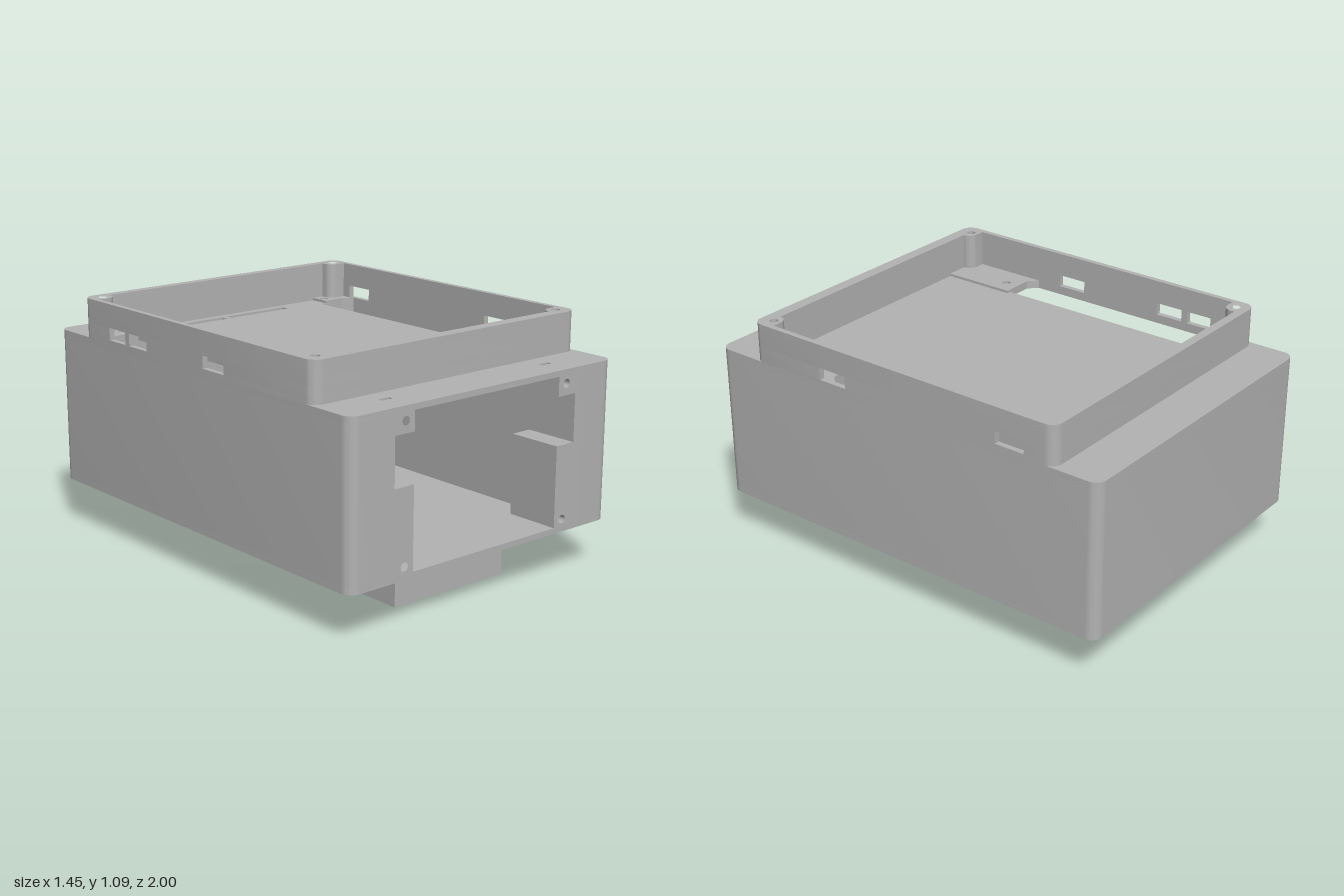
import * as THREE from 'three';
import { toCreasedNormals } from 'three/addons/utils/BufferGeometryUtils.js';

const plastic = new THREE.MeshStandardMaterial({ color: 0xb3b3b3 });
plastic.name = 'grey plastic';

// Closed path from [a, b, radius?] corners; a radius rounds that corner.
function trace(path, pts) {
  const n = pts.length;
  const toward = (p, q, d) => {
    const l = Math.hypot(q[0] - p[0], q[1] - p[1]);
    return [p[0] + ((q[0] - p[0]) * d) / l, p[1] + ((q[1] - p[1]) * d) / l];
  };
  pts.forEach((p, i) => {
    const r = p[2] || 0;
    const prev = pts[(i + n - 1) % n], next = pts[(i + 1) % n];
    const a = r ? toward(p, prev, r) : p;
    if (i === 0) path.moveTo(a[0], a[1]);
    else path.lineTo(a[0], a[1]);
    if (!r) return;
    const b = toward(p, next, r), c = toward(p, prev, r * 0.4477), d = toward(p, next, r * 0.4477);
    path.bezierCurveTo(c[0], c[1], d[0], d[1], b[0], b[1]);
  });
  path.closePath();
  return path;
}

const rect = (x0, x1, z0, z1, r = 0) => [[x0, z0, r], [x1, z0, r], [x1, z1, r], [x0, z1, r]];
const hole = (pts) => trace(new THREE.Path(), pts);
const round = (x, y, r) => new THREE.Path().absarc(x, y, r, 0, Math.PI * 2, true);
const mirror = (pts, s) => pts.map(([x, z, r]) => [x * s, z, r]);

function extrude(pts, holes, depth) {
  const shape = trace(new THREE.Shape(), pts);
  shape.holes.push(...holes);
  return new THREE.ExtrudeGeometry(shape, { depth, bevelEnabled: false, curveSegments: 10 });
}

export function createModel() {
  const model = new THREE.Group();
  model.name = 'enclosure';

  const add = (name, geometry) => {
    const mesh = new THREE.Mesh(toCreasedNormals(geometry, 0.6), plastic);
    mesh.name = name;
    model.add(mesh);
  };
  // Plan outline (x, z) raised from y0 to y1
  const slab = (name, y0, y1, pts, holes = []) =>
    add(name, extrude(pts, holes, y1 - y0).rotateX(Math.PI / 2).translate(0, y1, 0));
  const box = (name, x0, x1, y0, y1, z0, z1) =>
    add(name, new THREE.BoxGeometry(x1 - x0, y1 - y0, z1 - z0)
      .translate((x0 + x1) / 2, (y0 + y1) / 2, (z0 + z1) / 2));

  // Openings shared by several layers
  const outer = rect(-0.725, 0.725, -1, 1, 0.05);
  const channel = [[0.53, -0.66], [0.66, -0.66], [0.7, -0.62], [0.7, 0.35], [0.66, 0.39], [0.53, 0.39]];
  const channels = () => [1, -1].map((s) => hole(mirror(channel, s)));
  const nutSlots = () => [1, -1].map((s) => hole(mirror(rect(0.415, 0.47, 0.868, 0.892), s)));
  const cableSlots = [[-0.51, -0.375], [-0.36, -0.025], [0, 0.335]]
    .map(([a, b]) => hole(rect(a, b, -0.72, -0.68)));

  // Lower body: base, hollow shell open at the front, tray floor
  slab('base', 0.21, 0.235, outer, nutSlots());
  slab('shell', 0.235, 0.885, [
    [0.5, 1], [0.725, 1, 0.05], [0.725, -1, 0.05], [-0.725, -1, 0.05], [-0.725, 1, 0.05],
    [-0.5, 1], [-0.5, -0.96], [0.5, -0.96],
  ], channels());
  slab('trayFloor', 0.885, 0.91, outer, [...channels(), ...nutSlots(), ...cableSlots]);

  // Screw blocks beside the front opening, and plates in the tray corners
  for (const s of [1, -1]) {
    for (const [y0, y1, hy] of [[0.235, 0.59, 0.265], [0.8, 0.885, 0.85]]) {
      add('frontScrewBlock', extrude(mirror(rect(0.4, 0.5, y0, y1), s), [round(s * 0.445, hy, 0.019)], 0.15)
        .translate(0, 0, 0.85));
      const xs = [s * 0.4, s * 0.5].sort((a, b) => a - b);
      box('frontScrewBlockBack', xs[0], xs[1], y0, y1, 0.75, 0.85);
    }
    slab('frontCornerPlate', 0.91, 0.922,
      mirror([[0.51, 0.735], [0.7, 0.735], [0.7, 0.35], [0.66, 0.39], [0.51, 0.39]], s),
      [round(s * 0.585, 0.455, 0.019)]);
    slab('backCornerPlate', 0.91, 0.922,
      mirror([[0.555, -0.755], [0.7, -0.755], [0.7, -0.62], [0.66, -0.66], [0.555, -0.66]], s),
      [round(s * 0.585, -0.71, 0.019)]);
  }

  // Rim end: end wall, two screw bosses and legs reaching to zL (+x) and zR (-x)
  const rimEnd = (name, y0, y1, zOut, zIn, zBoss, zHole, zL, zR) =>
    slab(name, y0, y1, [
      [0.725, zL], [0.725, zOut, 0.05], [-0.725, zOut, 0.05], [-0.725, zR],
      [-0.7, zR], [-0.7, zBoss], [-0.615, zBoss, 0.042], [-0.615, zIn],
      [0.615, zIn], [0.615, zBoss, 0.042], [0.7, zBoss], [0.7, zL],
    ], [round(0.662, zHole, 0.019), round(-0.662, zHole, 0.019)]);
  // The middle layer leaves gaps for the side windows
  for (const [y0, y1, f, b] of [
    [0.91, 0.925, [0, 0], [0, 0]],
    [0.925, 0.98, [0.41, 0.23], [-0.65, -0.59]],
    [0.98, 1.085, [0, 0], [0, 0]],
  ]) {
    rimEnd('rimFront', y0, y1, 0.79, 0.735, 0.69, 0.727, ...f);
    rimEnd('rimBack', y0, y1, -0.795, -0.755, -0.695, -0.735, ...b);
  }
  box('windowPillarLeft', 0.7, 0.725, 0.925, 0.98, -0.51, 0.27);
  for (const [z0, z1] of [[-0.47, -0.44], [-0.31, 0.09]]) {
    box('windowPillarRight', -0.725, -0.7, 0.925, 0.98, z0, z1);
  }

  // Foot: drilled side walls, end walls and a drilled middle bridge
  for (const x of [-0.305, 0.24]) {
    const holes = [0.41, -0.41].map((z) => round(z, 0.105, 0.03));
    add('footSide', extrude(rect(-0.795, 0.795, 0, 0.21), holes, 0.065)
      .rotateY(Math.PI / 2).translate(x, 0, 0));
  }
  box('footFront', -0.24, 0.24, 0, 0.21, 0.73, 0.795);
  box('footBack', -0.24, 0.24, 0, 0.21, -0.795, -0.73);
  slab('footBridge', 0, 0.21, rect(-0.24, 0.24, -0.1, 0.1), [round(0, 0, 0.02)]);

  return model;
}
